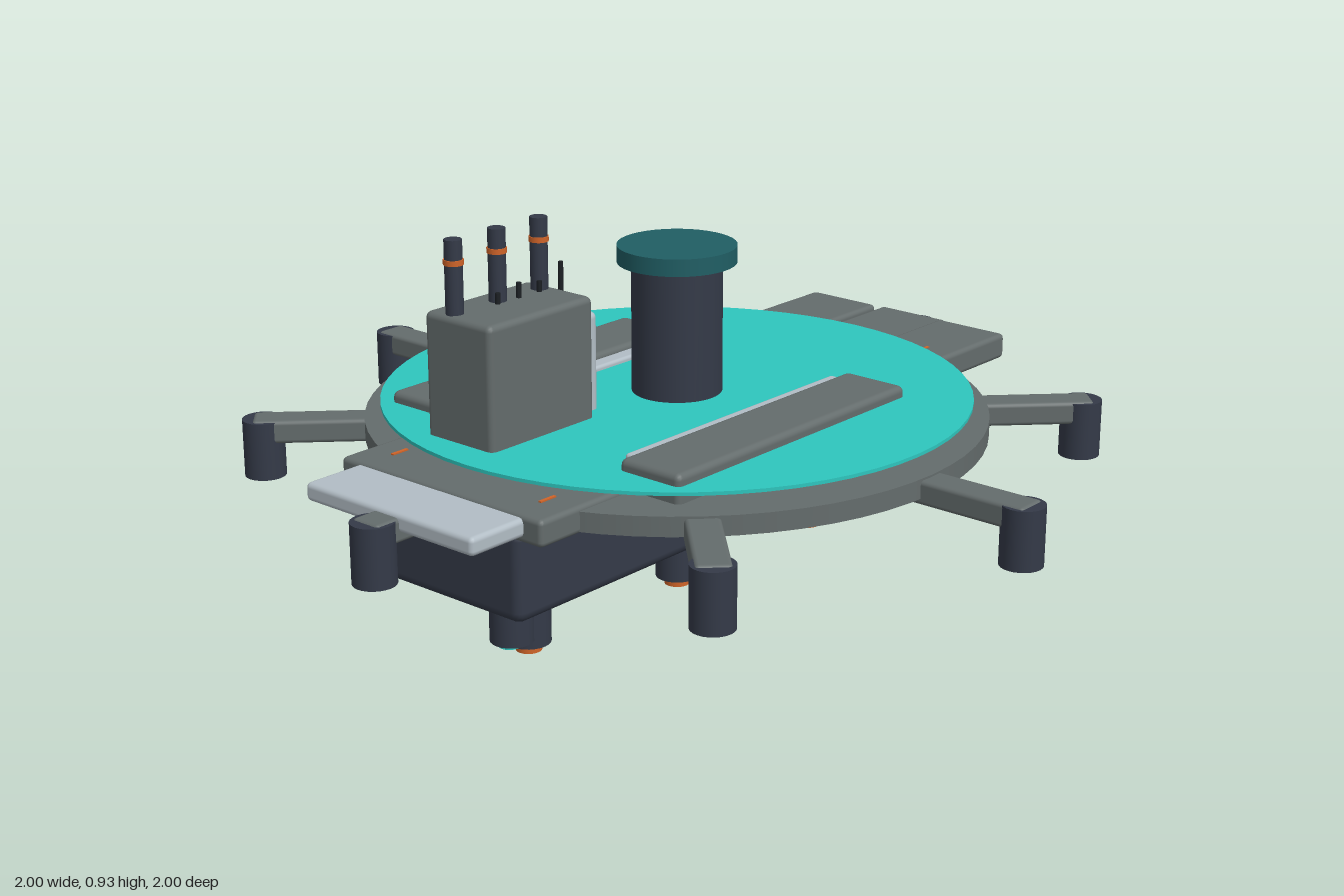
import * as THREE from 'three';
import { RoundedBoxGeometry } from 'three/addons/geometries/RoundedBoxGeometry.js';

const material = (name, color) => {
  const m = new THREE.MeshStandardMaterial({ color });
  m.name = name;
  return m;
};

export function createModel() {
  const grey = material('hull grey', 0x646c6c);
  const dark = material('dark slate', 0x343a48);
  const teal = material('bright teal', 0x2ec6be);
  const deepTeal = material('deep teal', 0x205e64);
  const pale = material('pale silver', 0xb2bdc5);
  const orange = material('glow orange', 0xd06428);
  const black = material('black', 0x1c2024);

  const model = new THREE.Group();
  model.name = 'discStation';

  // Box given by its limits on each axis, with softened edges
  const box = (name, mat, [x0, x1], [y0, y1], [z0, z1], r = 0.012, parent = model) => {
    const g = r
      ? new RoundedBoxGeometry(x1 - x0, y1 - y0, z1 - z0, 2, r)
      : new THREE.BoxGeometry(x1 - x0, y1 - y0, z1 - z0);
    const m = new THREE.Mesh(g, mat);
    m.name = name;
    m.position.set((x0 + x1) / 2, (y0 + y1) / 2, (z0 + z1) / 2);
    parent.add(m);
    return m;
  };
  // Upright cylinder given by its axis and height limits
  const tube = (name, mat, r, x, z, y0, y1, sides = 24, parent = model) => {
    const m = new THREE.Mesh(new THREE.CylinderGeometry(r, r, y1 - y0, sides), mat);
    m.name = name;
    m.position.set(x, (y0 + y1) / 2, z);
    parent.add(m);
    return m;
  };

  // Main disc and the thin bright deck above it
  tube('mainDisc', grey, 0.72, 0, 0, 0.4, 0.445, 64);
  tube('deckPlate', teal, 0.683, 0, 0, 0.476, 0.484, 64);

  // Eight radial arms, each ending in a downward pod
  for (let i = 0; i < 8; i++) {
    const arm = new THREE.Group();
    arm.name = 'radialArm';
    arm.rotation.y = (i * Math.PI) / 4;
    box('armBeam', grey, [0.6, 0.975], [0.385, 0.44], [-0.039, 0.039], 0.01, arm);
    tube('armPod', dark, 0.048, 0.952, 0, 0.3, 0.436, 24, arm);
    model.add(arm);
  }

  // Underside hull
  box('lowerHull', dark, [-0.76, 0.415], [0.2, 0.41], [-0.225, 0.225], 0.025);
  box('hullNose', dark, [0.36, 0.525], [0.25, 0.41], [-0.14, 0.14], 0.025);

  // Three legs with glowing tips; the outer two have a companion cylinder
  for (const x of [-0.505, 0, 0.505]) {
    tube('leg', dark, 0.051, x, 0, 0.02, 0.33);
    tube('legTip', orange, 0.03, x, 0, 0, 0.022);
    if (x) {
      const outer = x + Math.sign(x) * 0.052;
      tube('legCompanion', dark, 0.05, outer, 0, 0.04, 0.33);
      tube('companionTip', teal, 0.025, outer + Math.sign(x) * 0.008, 0, 0.028, 0.042);
    }
  }

  // Side bars through the deck, with pale inner ledges and orange slots
  for (const s of [-1, 1]) {
    const span = (a, b) => (s > 0 ? [a, b] : [-b, -a]);
    box('sideBar', grey, [-0.495, 0.3], [0.37, 0.51], span(0.265, 0.432), 0.015);
    box('innerLedge', pale, [-0.435, 0.288], [0.44, 0.496], span(0.227, 0.29), 0.008);
    box('barSlot', orange, [-0.13, 0.18], [0.395, 0.465], span(0.428, 0.436), 0);
  }

  // Right platform with a pale extension
  box('rightPlatform', grey, [-0.768, -0.4], [0.395, 0.456], [-0.3, 0.3]);
  box('paleExtension', pale, [-0.915, -0.7], [0.408, 0.45], [-0.25, 0.25]);

  // Left platform: two rails with a longer strip between
  box('leftRail', grey, [0.4, 0.912], [0.405, 0.468], [-0.3, -0.1]);
  box('leftRail', grey, [0.4, 0.912], [0.405, 0.468], [0.1, 0.3]);
  box('centreStrip', grey, [0.4, 0.947], [0.4, 0.457], [-0.102, 0.102]);
  box('platformEdgeStrip', pale, [0.908, 0.916], [0.428, 0.442], [-0.24, 0.24], 0);
  for (const s of [-1, 1]) {
    box('platformMark', orange, [0.645, 0.69], [0.465, 0.47], [s * 0.222 - 0.004, s * 0.222 + 0.004], 0);
    box('platformMark', orange, [-0.69, -0.645], [0.453, 0.459], [s * 0.222 - 0.004, s * 0.222 + 0.004], 0);
  }

  // Central column and cap
  tube('column', dark, 0.105, 0, 0, 0.44, 0.8, 40);
  tube('columnCap', deepTeal, 0.138, 0, 0, 0.79, 0.83, 40);

  // Equipment block with a pale side cabinet
  box('equipmentBlock', grey, [-0.597, -0.273], [0.44, 0.765], [-0.207, -0.007], 0.015);
  box('sideCabinet', pale, [-0.3, -0.22], [0.44, 0.712], [-0.202, -0.042], 0.015);

  // Stacks with orange bands, and small aerials
  for (const x of [-0.568, -0.437, -0.306]) {
    tube('stack', dark, 0.02, x, -0.14, 0.75, 0.93, 16);
    tube('stackBand', orange, 0.0225, x, -0.14, 0.874, 0.886, 16);
  }
  for (const [x, y] of [[-0.455, 0.79], [-0.39, 0.8], [-0.325, 0.79], [-0.256, 0.82]])
    tube('aerial', black, 0.006, x, -0.122, 0.7, y, 8);

  return model;
}
